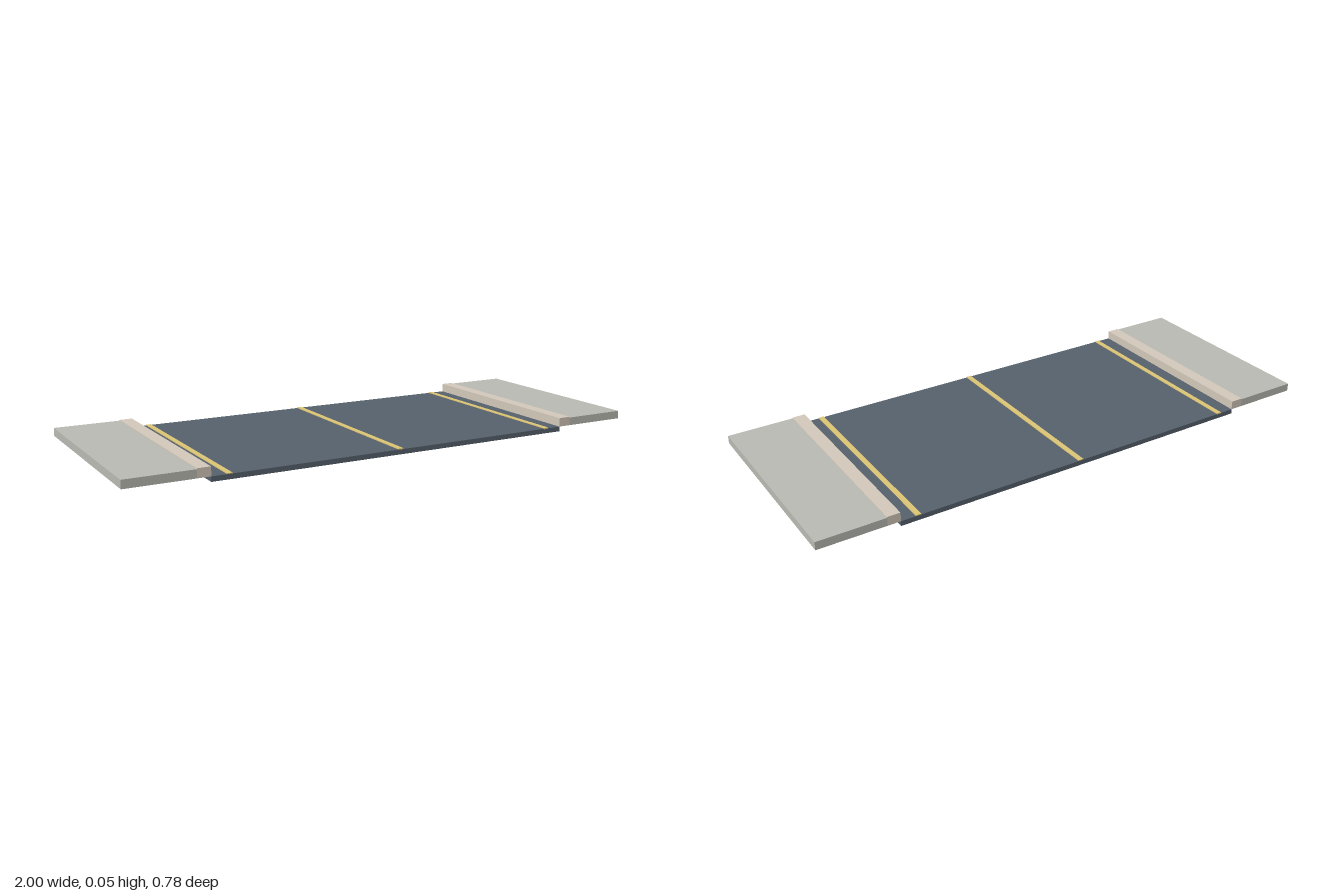
import * as THREE from 'three';

const DEPTH = 0.784;

export function createModel() {
  const model = new THREE.Group();
  const material = (color) => new THREE.MeshStandardMaterial({ color });
  const asphalt = material(0x56616c);
  const paving = material(0xb9bab2);
  const stone = material(0xd3c8ba);
  const paint = material(0xdcc574);

  // Full-depth slab spanning x0..x1 and y0..y1
  const slab = (name, x0, x1, y0, y1, mat) => {
    const mesh = new THREE.Mesh(new THREE.BoxGeometry(x1 - x0, y1 - y0, DEPTH), mat);
    mesh.position.set((x0 + x1) / 2, (y0 + y1) / 2, 0);
    mesh.name = name;
    model.add(mesh);
  };

  // Road surface with its centre line
  slab('road', -0.707, 0.707, 0, 0.018, asphalt);
  slab('centreLine', -0.01, 0.01, 0.016, 0.021, paint);

  // Edge line, kerb and raised pavement on both sides
  for (const [side, s] of [['left', 1], ['right', -1]]) {
    const strip = (part, a, b, y0, y1, mat) =>
      slab(side + part, Math.min(s * a, s * b), Math.max(s * a, s * b), y0, y1, mat);
    strip('EdgeLine', 0.633, 0.652, 0.016, 0.021, paint);
    strip('Kerb', 0.706, 0.754, 0.018, 0.051, stone);
    strip('Pavement', 0.754, 1, 0.018, 0.048, paving);
  }

  return model;
}
